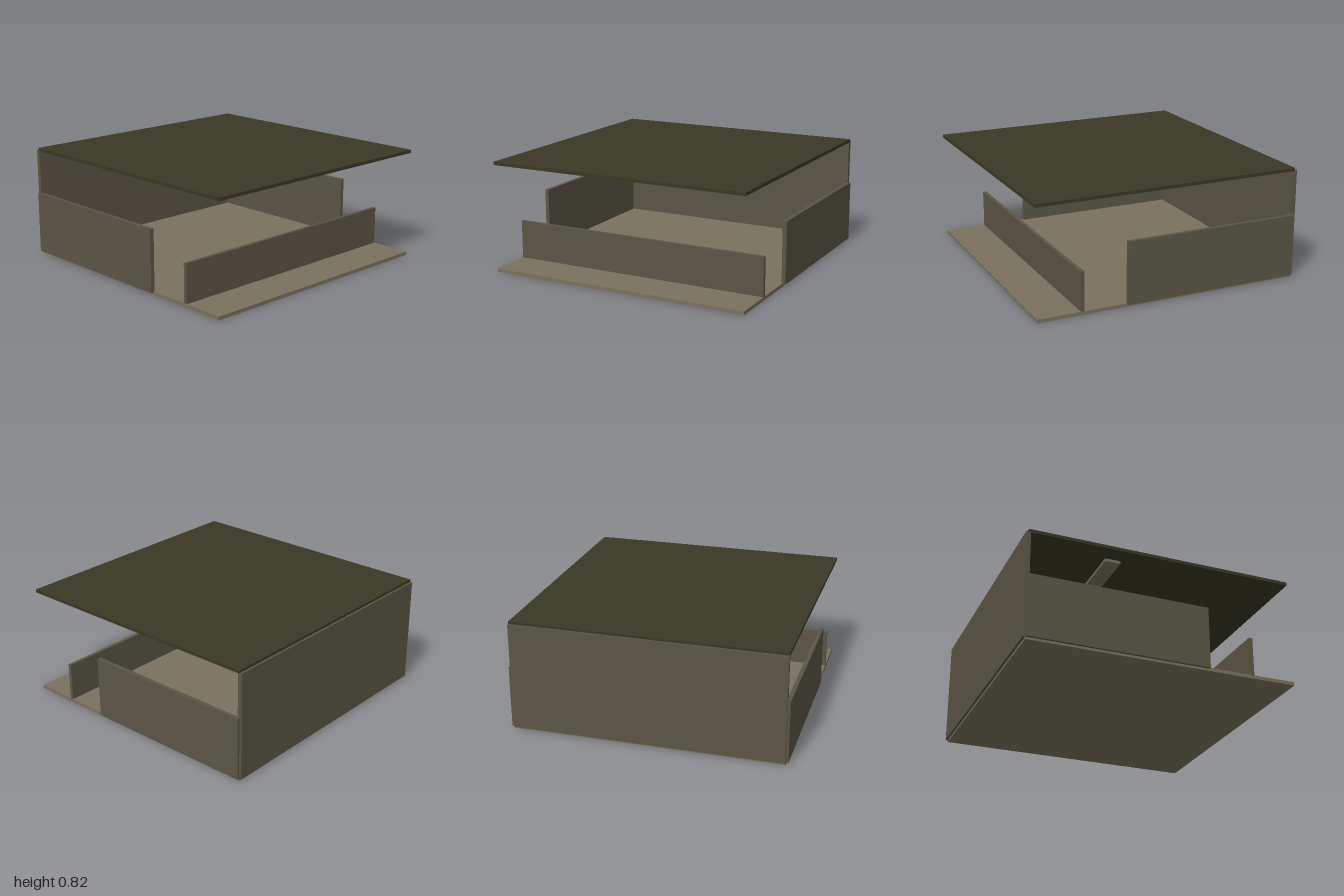
import * as THREE from 'three';

export function createModel() {
  const group = new THREE.Group();
  const paint = (name, color) => {
    const m = new THREE.MeshStandardMaterial({ color });
    m.name = name;
    return m;
  };
  const stone = paint('pale floor', 0x7a725e);
  const plaster = paint('wall taupe', 0x5a5546);
  const olive = paint('roof olive', 0x3a3824);

  // Box given by its lower and upper corners
  const slab = (name, material, [x0, y0, z0], [x1, y1, z1]) => {
    const mesh = new THREE.Mesh(new THREE.BoxGeometry(x1 - x0, y1 - y0, z1 - z0), material);
    mesh.position.set((x0 + x1) / 2, (y0 + y1) / 2, (z0 + z1) / 2);
    mesh.name = name;
    group.add(mesh);
  };

  const half = 0.982, back = -0.973, front = 0.991;

  // Square floor and matching overhanging roof
  slab('floor', stone, [-half, 0, back], [half, 0.026, front]);
  slab('roof', olive, [-half, 0.796, back], [half, 0.82, front]);

  // Full-height back wall and low front parapet
  slab('backWall', plaster, [-half, 0.017, -0.99], [half, 0.802, -0.958]);
  slab('frontParapet', plaster, [-half, 0.017, 0.653], [half, 0.31, 0.679]);

  // Half-height side walls and ceiling lights, mirrored
  for (const [side, s] of [['left', 1], ['right', -1]]) {
    const span = (a, b) => (s > 0 ? [a, b] : [-b, -a]);
    const [w0, w1] = span(0.97, 1);
    slab(side + 'SideWall', plaster, [w0, 0.017, back], [w1, 0.474, 0.336]);
    const [l0, l1] = span(0.13, 0.85);
    slab(side + 'CeilingLight', stone, [l0, 0.776, -0.374], [l1, 0.797, -0.26]);
  }

  return group;
}
